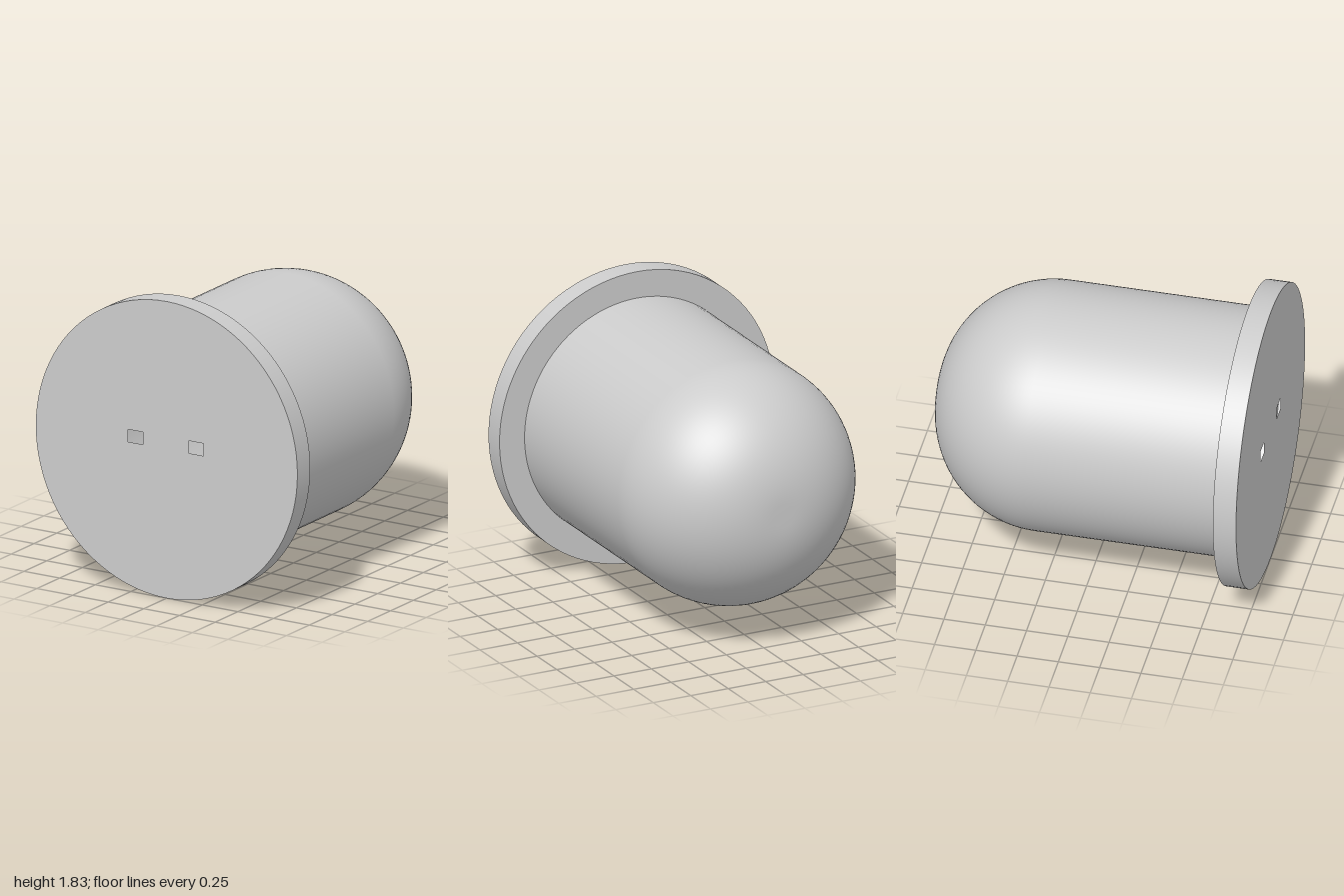
import * as THREE from 'three';

const FLANGE_R = 0.917, BODY_R = 0.75, TIP_R = 0.07, SEG = 96;
const FRONT_Z = 1, FLANGE_Z = 0.86, DOME_Z = -0.32, BACK_Z = -1;

export function createModel() {
  const model = new THREE.Group();
  model.name = 'bulb';
  const material = new THREE.MeshStandardMaterial({ color: 0xcccccc, side: THREE.DoubleSide });

  const add = (parent, name, geometry) => {
    const mesh = new THREE.Mesh(geometry, material);
    mesh.name = name;
    parent.add(mesh);
  };

  // Revolve [radius, z] pairs, listed front to back, around the z axis
  const revolve = (pairs) =>
    new THREE.LatheGeometry(pairs.map(([r, z]) => new THREE.Vector2(r, -z)), SEG).rotateX(-Math.PI / 2);

  // Flange: front plate with two lead slots, rim and rear ring
  const flange = new THREE.Group();
  flange.name = 'flange';
  const plate = new THREE.Shape().absarc(0, 0, FLANGE_R, 0, Math.PI * 2, false);
  for (const x of [-0.219, 0.207]) {
    const w = 0.052, y0 = 0.005, y1 = 0.082;
    plate.holes.push(new THREE.Path([
      [x - w, y0], [x - w, y1], [x + w, y1], [x + w, y0],
    ].map(([px, py]) => new THREE.Vector2(px, py))));
  }
  add(flange, 'frontPlate', new THREE.ShapeGeometry(plate, SEG / 2).translate(0, 0, FRONT_Z));
  add(flange, 'rim', revolve([[FLANGE_R, FRONT_Z], [FLANGE_R, FLANGE_Z]]));
  add(flange, 'rearRing', revolve([[FLANGE_R, FLANGE_Z], [BODY_R, FLANGE_Z]]));
  model.add(flange);

  // Hollow body: straight barrel blending into a rounded dome with a small flat tip
  const profile = [[BODY_R, FLANGE_Z]];
  const steps = 24;
  for (let i = 0; i <= steps; i++) {
    const a = (i / steps) * Math.PI / 2;
    profile.push([
      TIP_R + (BODY_R - TIP_R) * Math.cos(a),
      DOME_Z + (BACK_Z - DOME_Z) * Math.sin(a),
    ]);
  }
  profile.push([0, BACK_Z]);
  add(model, 'domedBody', revolve(profile));

  // Rest the flange on the ground
  for (const part of model.children) part.position.y = FLANGE_R;
  return model;
}
